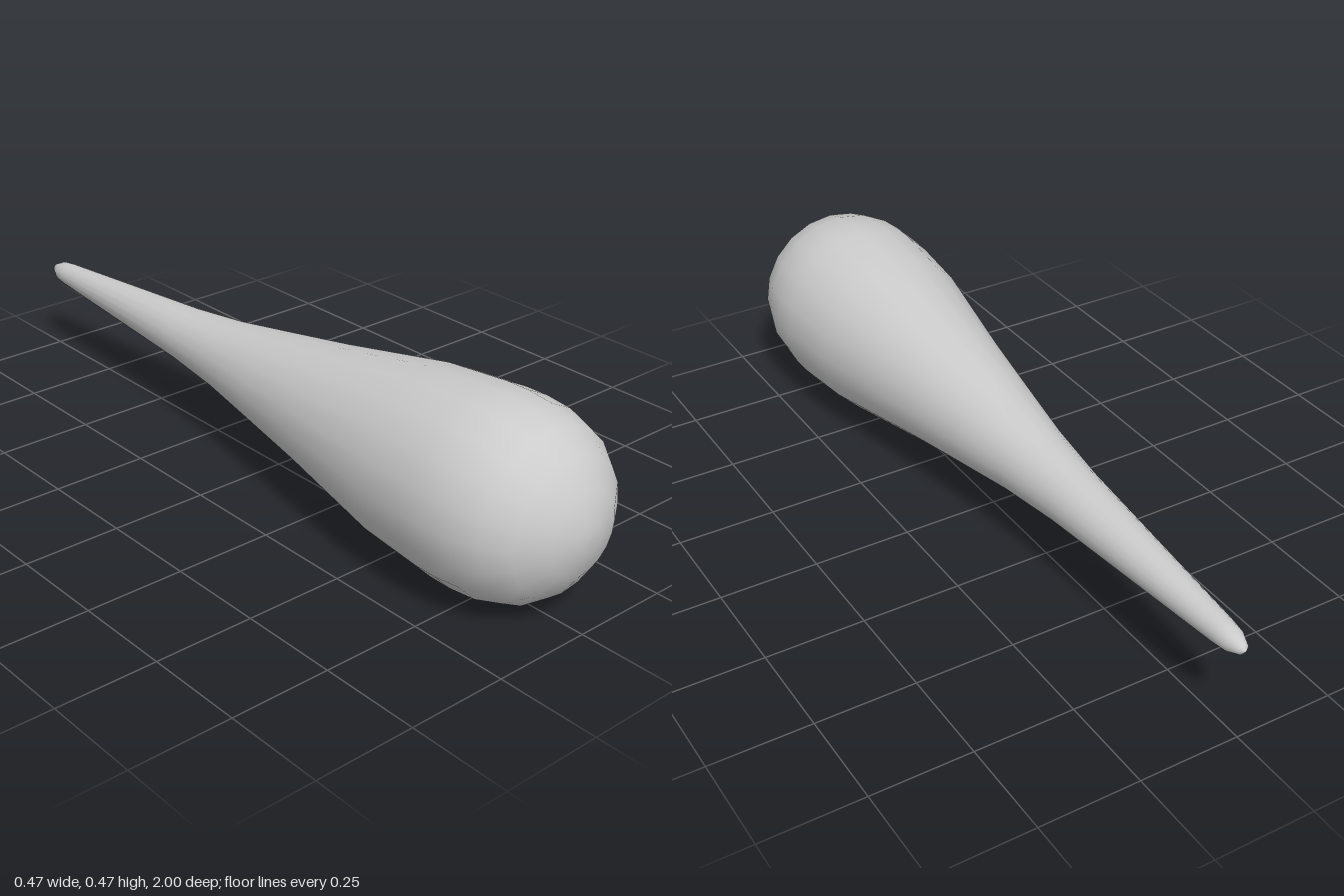
import * as THREE from 'three';

export function createModel() {
  const group = new THREE.Group();
  const radius = 0.235;

  // Profile as [radius, z], from the thin tail tip to the rounded front
  const profile = [
    [0, -1], [0.014, -0.99], [0.027, -0.96], [0.032, -0.92], [0.074, -0.36],
    [0.095, -0.18], [0.125, 0], [0.159, 0.2], [0.219, 0.51], [0.234, 0.68],
    [radius, 0.74], [0.229, 0.81], [0.207, 0.88], [0.165, 0.935],
    [0.1, 0.98], [0.035, 0.999], [0, 1],
  ].map(([r, z]) => new THREE.Vector2(r, z));

  // Teardrop body turned around the z axis
  const geometry = new THREE.LatheGeometry(profile, 20);
  geometry.rotateX(Math.PI / 2);
  const body = new THREE.Mesh(geometry, new THREE.MeshStandardMaterial({ color: 0xcccccc }));
  body.name = 'teardropBody';
  body.position.y = radius + 0.002;
  group.add(body);
  return group;
}
